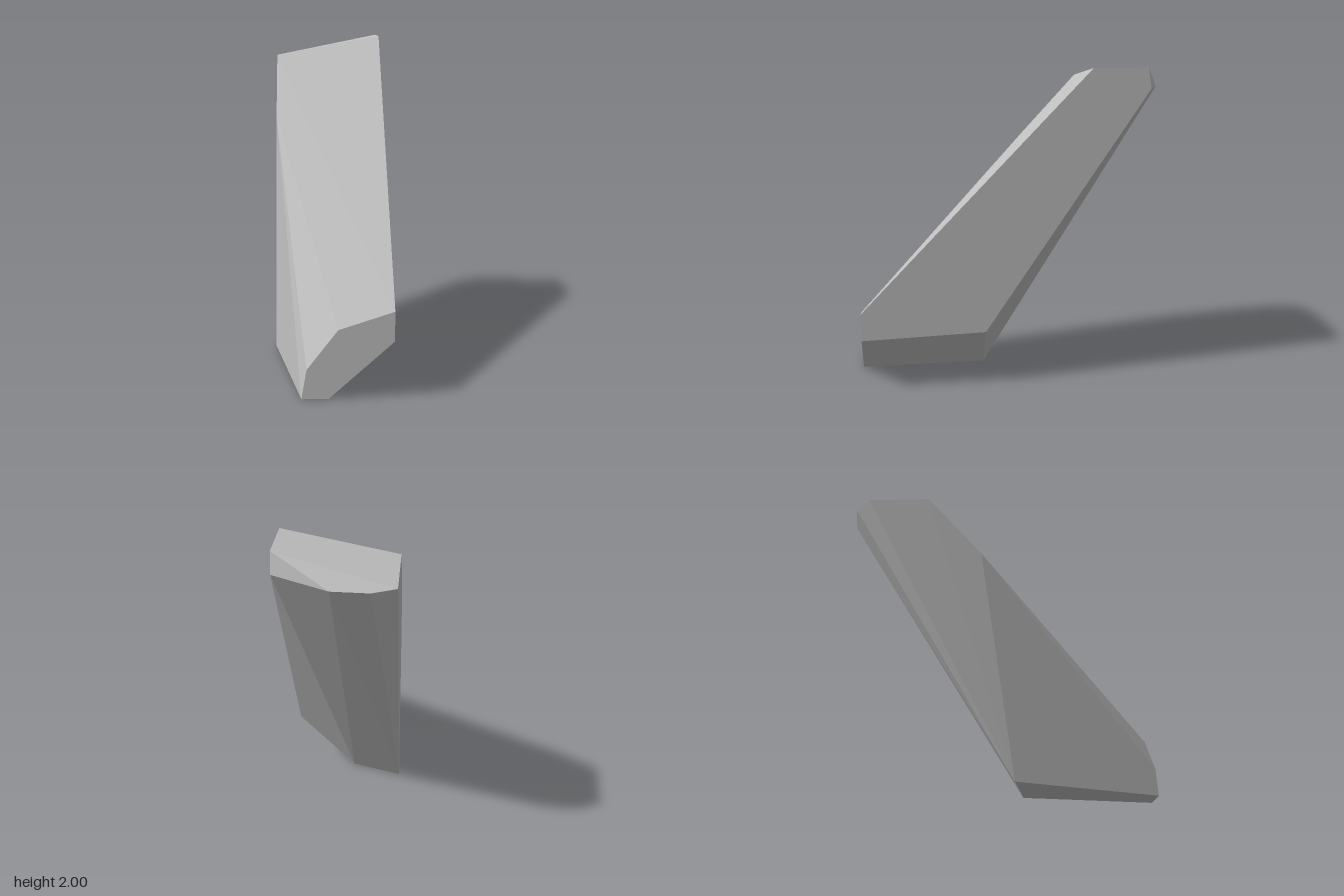
import * as THREE from 'three';
import { ConvexGeometry } from 'three/addons/geometries/ConvexGeometry.js';

export function createModel() {
  const group = new THREE.Group();
  group.name = 'leaningRock';

  const stone = new THREE.MeshStandardMaterial({ color: 0xc0c0c0 });
  stone.name = 'paleStone';

  // Corners of the faceted shard, region by region
  const corners = [
    // six-sided front face
    [-0.185, 0, 0.95], [-0.03, 0, 0.95], [0.345, 0.34, 0.95],
    [0.345, 0.515, 0.95], [0.025, 0.41, 0.95], [-0.155, 0.175, 0.95],
    // rear of the foot
    [-0.35, 0, 0.055], [-0.03, 0, 0.155], [0.345, 0.36, 0.175],
    // shoulder where the front slope is chipped
    [-0.34, 1.5, -0.15],
    // front edge of the top
    [-0.34, 1.875, -0.495], [0.345, 2, -0.475],
    // rear edge of the top
    [0.345, 2, -0.81], [0.345, 1.87, -0.83], [0.02, 1.84, -0.95],
    [-0.2, 1.838, -0.95], [-0.337, 1.835, -0.875],
  ];

  // Flat facets stretched over the corners
  const shard = new THREE.Mesh(
    new ConvexGeometry(corners.map((c) => new THREE.Vector3(...c))), stone);
  shard.name = 'rockShard';
  group.add(shard);
  return group;
}
